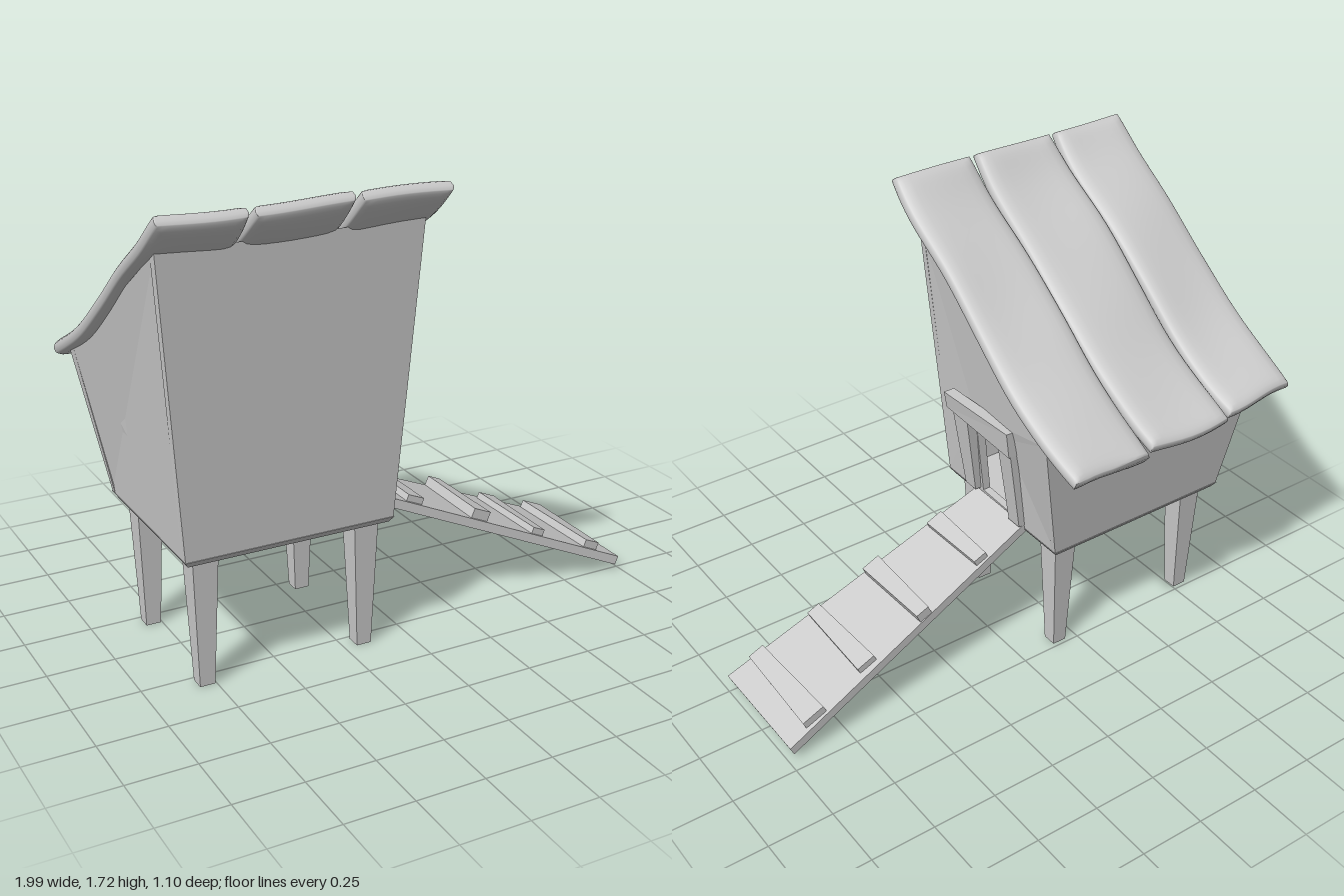
import * as THREE from 'three';
import { mergeVertices } from 'three/addons/utils/BufferGeometryUtils.js';

const mat = new THREE.MeshStandardMaterial({ color: 0xcccccc, side: THREE.DoubleSide });
const lerp = THREE.MathUtils.lerp;

// Move every vertex of a geometry by a rule
function warp(geo, rule) {
  const p = geo.attributes.position;
  for (let i = 0; i < p.count; i++) p.setXYZ(i, ...rule(p.getX(i), p.getY(i), p.getZ(i)));
  geo.computeVertexNormals();
  return geo;
}

function add(group, name, geo) {
  const mesh = new THREE.Mesh(geo, mat);
  mesh.name = name;
  group.add(mesh);
  return mesh;
}

// Flat-faced six-sided block; rule maps (0..1, 0..1, 0..1) to a position
function block(group, name, rule) {
  const geo = new THREE.BoxGeometry(1, 1, 1).toNonIndexed();
  return add(group, name, warp(geo, (x, y, z) => rule(x + 0.5, y + 0.5, z + 0.5)));
}

// Flared body: a runs left to right in x, h upward, b from back to front
function hull(a, h, b) {
  const xTop = lerp(lerp(-0.975, -0.955, b), lerp(0.01, -0.01, b), a);
  return [
    lerp(lerp(-0.87, -0.09, a), xTop, h),
    lerp(0.505, lerp(1.04, 1.58, b), h),
    lerp(lerp(-0.3, 0.38, b), lerp(-0.36, 0.44, b), h),
  ];
}

function buildBody(group) {
  const t = 0.04;
  block(group, 'frontWall', (u, v, w) => hull(u, v, 1 - t + t * w));
  block(group, 'backWall', (u, v, w) => hull(u, v, t * w));
  block(group, 'plainSideWall', (u, v, w) => hull(t * u, v, w));

  // Side wall with the doorway cut out
  const shape = new THREE.Shape([[0, 0], [1, 0], [1, 1], [0, 1]].map(p => new THREE.Vector2(...p)));
  shape.holes.push(new THREE.Path([[0.34, 0.03], [0.35, 0.43], [0.62, 0.52], [0.63, 0.03]]
    .map(p => new THREE.Vector2(...p))));
  const geo = new THREE.ExtrudeGeometry(shape, { depth: t, bevelEnabled: false });
  add(group, 'doorSideWall', warp(geo, (x, y, z) => hull(1 - t + z, y, 1 - x)));

  // Floor, chamfered underneath
  block(group, 'floor', (u, v, w) => {
    const e = v ? 0.003 : -0.012;
    return [lerp(-0.87 - e, -0.09 + e, u), lerp(0.485, 0.507, v), lerp(-0.3 - e, 0.38 + e, w)];
  });
}

function buildLegs(group) {
  for (const x of [-0.783, -0.175]) {
    for (const z of [0.293, -0.206]) {
      block(group, 'leg', (u, v, w) => {
        const s = lerp(0.056, 0.094, v);
        return [x + (u - 0.5) * s, v * 0.49, z + (w - 0.5) * s];
      });
    }
  }
}

function buildDoorFrame(group) {
  // Posts lean out with the wall: z edges at bottom and top
  const posts = [
    { y0: 0.535, bottom: [0.165, 0.23], top: [0.148, 0.24] },
    { y0: 0.525, bottom: [-0.115, -0.05], top: [-0.122, -0.045] },
  ];
  for (const { y0, bottom, top } of posts) {
    block(group, 'doorPost', (u, v, w) => [
      lerp(-0.105, -0.062, u) + v * 0.05,
      lerp(y0, 0.88, v),
      lerp(lerp(bottom[0], top[0], v), lerp(bottom[1], top[1], v), w),
    ]);
  }
  block(group, 'doorLintel', (u, v, w) => [
    lerp(-0.045, 0.0, u) + (v - 0.5) * 0.012,
    lerp(lerp(0.86, 0.965, v), lerp(0.875, 0.945, v), w),
    lerp(-0.125, 0.27, w),
  ]);
}

function buildRamp(group) {
  // s runs down the ramp, d is height above its top face
  const at = (s, d, z) => [lerp(-0.085, 0.99, s) + d * 0.4, lerp(0.525, 0.055, s) + d * 0.91, z];
  block(group, 'ramp', (u, v, w) =>
    at(u, (v - 1) * 0.035, lerp(lerp(-0.112, -0.197, u), lerp(0.19, 0.272, u), w)));

  // Treads: x centre, back z, front z, width at back and front, height
  const treads = [
    [0.105, -0.115, 0.19, 0.05, 0.065, 0.025],
    [0.375, -0.145, 0.212, 0.05, 0.07, 0.038],
    [0.625, -0.142, 0.233, 0.07, 0.05, 0.025],
    [0.865, -0.172, 0.25, 0.085, 0.06, 0.03],
  ];
  for (const [x, z0, z1, w0, w1, h] of treads) {
    block(group, 'tread', (u, v, w) =>
      at((x + 0.085 + (u - 0.5) * lerp(w0, w1, w)) / 1.075, v ? h : -0.01, lerp(z0, z1, w)));
  }
}

function buildRoof(group) {
  // Sagging roof line, from the low back eave to the high front eave
  const line = new THREE.CatmullRomCurve3([
    [0.985, -0.54], [1.065, -0.36], [1.155, -0.2], [1.305, 0],
    [1.455, 0.2], [1.595, 0.42], [1.7, 0.54],
  ].map(([y, z]) => new THREE.Vector3(0, y, z)));

  const planks = [
    { x0: -0.995, x1: -0.682, back: -0.505, phase: 0 },
    { x0: -0.672, x1: -0.316, back: -0.53, phase: 2.1 },
    { x0: -0.305, x1: 0.035, back: -0.548, phase: 4 },
  ];
  for (const { x0, x1, back, phase } of planks) {
    let geo = new THREE.BoxGeometry(2, 2, 2, 12, 2, 36);
    geo.deleteAttribute('normal');
    geo.deleteAttribute('uv');
    geo = mergeVertices(geo);
    warp(geo, (bx, v, bz) => {
      const u = Math.sin(bx * Math.PI / 2);
      const w = Math.sin(bz * Math.PI / 2);
      const t = lerp((back + 0.54) / 1.3, 1, (w + 1) / 2);
      const s = THREE.MathUtils.clamp(t + 0.008 * Math.sin(u * 2 + phase) * Math.min(w, 0), 0, 1);
      const p = line.getPointAt(s);
      const tan = line.getTangentAt(s);
      // Rounded rims, narrowed ends and gentle hand-hewn waves
      const round = 1 - 0.55 * Math.max(Math.abs(u) ** 10, Math.abs(w) ** 40);
      const half = 0.033 * round;
      const wave = 0.006 * Math.sin(w * 4 + u * 1.5 + phase);
      const d = v * half + wave;
      const bulge = (1 - Math.abs(v)) * 0.004;
      const x = lerp(x0, x1, (u + 1) / 2) - u * 0.01 * w ** 8
        + bulge * u * Math.abs(u) ** 8 + 0.003 * Math.sin(w * 3 + phase) * (1 - w * w);
      return [x, p.y + tan.z * d, p.z - tan.y * d + bulge * w * Math.abs(w) ** 20];
    });
    add(group, 'roofPlank', geo);
  }
}

export function createModel() {
  const model = new THREE.Group();
  model.name = 'raisedCoop';
  const parts = { body: buildBody, legs: buildLegs, doorFrame: buildDoorFrame, ramp: buildRamp, roof: buildRoof };
  for (const [name, build] of Object.entries(parts)) {
    const group = new THREE.Group();
    group.name = name;
    build(group);
    model.add(group);
  }
  return model;
}
